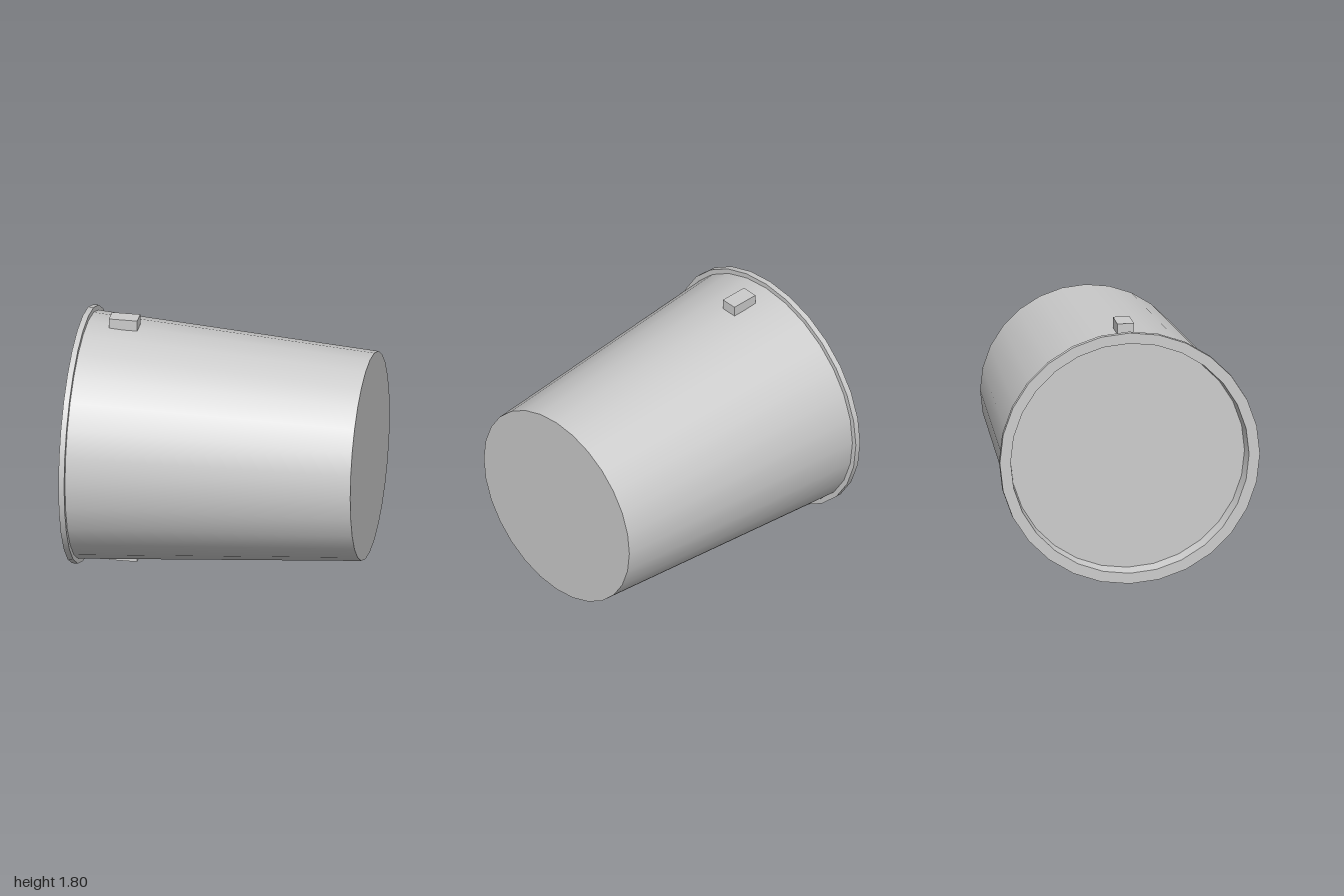
import * as THREE from 'three';

const SIDES = 28;
const CENTRE_Y = 0.9025;

export function createModel() {
  const group = new THREE.Group();
  const grey = new THREE.MeshStandardMaterial({ color: 0xcccccc });
  grey.name = 'light grey';

  // Turned surface about the x axis; each profile segment is its own lathe, so rings stay sharp.
  function turned(name, profile) {
    const part = new THREE.Group();
    part.name = name;
    for (let i = 0; i < profile.length - 1; i++) {
      const points = [profile[i], profile[i + 1]].map(([x, r]) => new THREE.Vector2(r, x));
      const geometry = new THREE.LatheGeometry(points, SIDES);
      geometry.rotateZ(-Math.PI / 2);
      geometry.scale(1, 0.984, 1); // slightly flattened circle
      geometry.translate(0, CENTRE_Y, 0);
      const mesh = new THREE.Mesh(geometry, grey);
      mesh.name = name + 'Surface';
      part.add(mesh);
    }
    group.add(part);
  }

  // Profiles are [x, radius]
  turned('recessedLid', [[-0.89, 0], [-0.89, 0.81], [-1, 0.825]]);
  turned('rim', [[-1, 0.825], [-1, 0.9], [-0.96, 0.9], [-0.96, 0.865]]);
  turned('taperedBody', [[-0.96, 0.865], [1, 0.73], [1, 0]]);

  // Handle lugs at top and bottom
  for (const side of [1, -1]) {
    const lug = new THREE.Mesh(new THREE.BoxGeometry(0.197, 0.075, 0.115), grey);
    lug.name = side > 0 ? 'topLug' : 'bottomLug';
    lug.position.set(-0.708, CENTRE_Y + side * (CENTRE_Y - 0.0375), 0);
    group.add(lug);
  }
  return group;
}
